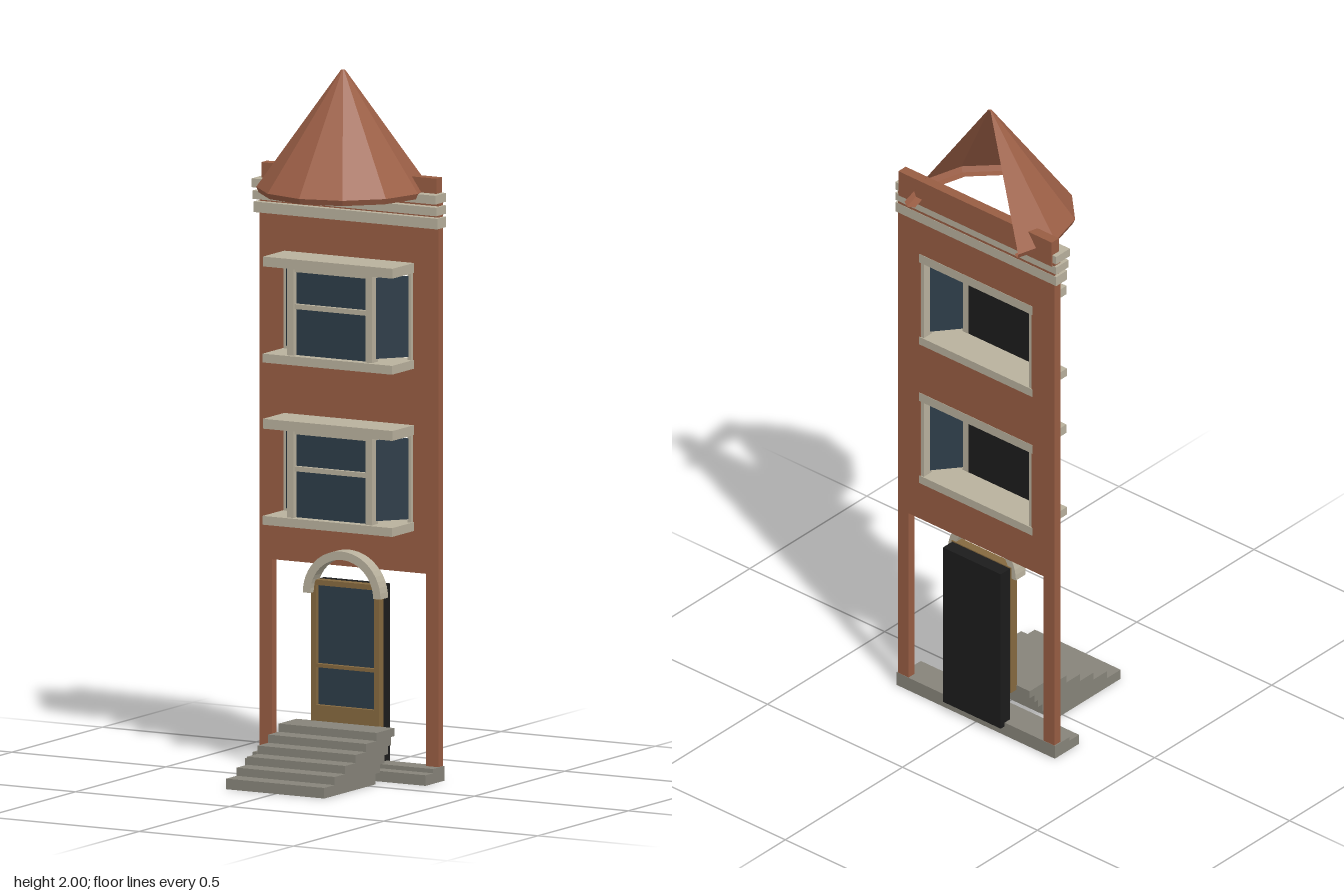
import * as THREE from 'three';

const mat = (name, color, extra = {}) => new THREE.MeshStandardMaterial({ name, color, flatShading: true, ...extra });

export function createModel() {
  const model = new THREE.Group();
  model.name = 'townhouseFront';
  const brick = mat('brick', 0x985d43);
  const roofTile = mat('roofTile', 0x9c5f46, { side: THREE.DoubleSide });
  const stone = mat('paleStone', 0xb9b19d);
  const step = mat('greyStone', 0x87847a);
  const glass = mat('darkGlass', 0x2d3c48);
  const black = mat('blackBacking', 0x1c1c1c);
  const wood = mat('doorWood', 0x85693f);

  const add = (name, geometry, material, parent = model) => {
    const mesh = new THREE.Mesh(geometry, material);
    mesh.name = name;
    parent.add(mesh);
    return mesh;
  };
  // Box given by its limits on each axis
  const box = (name, material, x0, x1, y0, y1, z0, z1, parent = model) => {
    const mesh = add(name, new THREE.BoxGeometry(x1 - x0, y1 - y0, z1 - z0), material, parent);
    mesh.position.set((x0 + x1) / 2, (y0 + y1) / 2, (z0 + z1) / 2);
    return mesh;
  };
  const rectPath = (path, x0, x1, y0, y1) =>
    path.moveTo(x0, y0).lineTo(x1, y0).lineTo(x1, y1).lineTo(x0, y1).closePath();

  // Wall on two legs, with an opening behind each bay window
  const bays = [0.705, 1.165];
  const wall = new THREE.Shape();
  wall.moveTo(-0.29, 0.04).lineTo(-0.25, 0.04).lineTo(-0.25, 0.587).lineTo(0.25, 0.587)
    .lineTo(0.25, 0.04).lineTo(0.29, 0.04).lineTo(0.29, 1.64).lineTo(-0.29, 1.64).closePath();
  for (const y of bays) {
    const hole = new THREE.Path();
    rectPath(hole, -0.205, 0.205, y + 0.01, y + 0.29);
    wall.holes.push(hole);
  }
  add('wall', new THREE.ExtrudeGeometry(wall, { depth: 0.026, bevelEnabled: false }), brick).position.z = -0.186;
  box('parapet', brick, -0.284, 0.284, 1.63, 1.71, -0.19, -0.159);

  // Cornice bands, each a little deeper than the one below
  [[1.57, 1.6, -0.14], [1.608, 1.632, -0.135], [1.642, 1.667, -0.129]].forEach(([y0, y1, z]) =>
    box('corniceBand', stone, -0.298, 0.298, y0, y1, -0.187, z));

  // Bay windows
  for (const y of bays) {
    const bay = new THREE.Group();
    bay.name = 'bayWindow';
    model.add(bay);
    box('sill', stone, -0.21, 0.21, y, y + 0.025, -0.187, -0.04, bay);
    box('lintel', stone, -0.21, 0.21, y + 0.272, y + 0.3, -0.187, -0.042, bay);
    const y0 = y + 0.025, y1 = y + 0.272;
    box('frontPane', glass, -0.118, 0.118, y0, y1, -0.074, -0.068, bay);
    box('paneBacking', black, -0.118, 0.118, y0, y1, -0.084, -0.074, bay);
    box('sashRail', stone, -0.118, 0.118, y + 0.157, y + 0.171, -0.07, -0.056, bay);
    box('topRail', stone, -0.118, 0.118, y1 - 0.01, y1, -0.07, -0.056, bay);
    for (const s of [-1, 1]) {
      const post = box('frontPost', stone, -0.011, 0.011, y0, y1, -0.085, -0.052, bay);
      post.position.x = s * 0.127;
      const wallPost = box('wallPost', stone, -0.006, 0.006, y0, y1, -0.184, -0.15, bay);
      wallPost.position.x = s * 0.201;
      // Slanted pane from front post to wall
      const pane = add('sidePane', new THREE.BoxGeometry(0.008, y1 - y0 - 0.018, 0.105), glass, bay);
      pane.position.set(s * 0.167, (y0 + y1) / 2, -0.117);
      pane.rotation.y = -s * 0.68;
    }
  }

  // Door
  const door = new THREE.Group();
  door.name = 'door';
  model.add(door);
  const frame = new THREE.Shape();
  rectPath(frame, -0.11, 0.11, 0.13, 0.545);
  const panes = [[0.19, 0.297], [0.307, 0.53]];
  for (const [y0, y1] of panes) {
    const hole = new THREE.Path();
    rectPath(hole, -0.094, 0.094, y0, y1);
    frame.holes.push(hole);
  }
  add('doorFrame', new THREE.ExtrudeGeometry(frame, { depth: 0.026, bevelEnabled: false }), wood, door).position.z = -0.164;
  box('doorGlass', glass, -0.1, 0.1, 0.18, 0.535, -0.16, -0.152, door);
  box('doorBacking', black, -0.107, 0.107, 0.03, 0.542, -0.204, -0.164, door);

  // Arch over the door
  const arch = new THREE.Shape();
  arch.absarc(0, 0, 0.126, 0, Math.PI, false);
  arch.absarc(0, 0, 0.102, Math.PI, 0, true);
  arch.closePath();
  add('doorArch', new THREE.ExtrudeGeometry(arch, { depth: 0.042, bevelEnabled: false, curveSegments: 12 }), stone)
    .position.set(0, 0.509, -0.161);

  // Base slab and stairs
  box('baseSlab', step, -0.293, 0.293, 0, 0.03, -0.187, -0.084);
  box('basePlinth', step, -0.293, 0.293, 0.03, 0.042, -0.187, -0.125);
  const levels = [0, 0.03, 0.053, 0.076, 0.099, 0.122, 0.145];
  const fronts = [0.248, 0.19, 0.132, 0.074, 0.016, -0.042];
  const backs = [-0.035, -0.06, -0.085, -0.104, -0.12, -0.14];
  fronts.forEach((z, i) => box('stair', step, -0.159, 0.159, levels[i], levels[i + 1], backs[i], z));

  // Turret roof: two thirds of a twelve-sided cone, open at the back, with a turned-in eave
  const profile = [[0.213, 1.652], [0.236, 1.652], [0.243, 1.668], [0.006, 2], [0, 2]]
    .map(([r, y]) => new THREE.Vector2(r, y));
  add('turretRoof', new THREE.LatheGeometry(profile, 8, -Math.PI * 2 / 3, Math.PI * 4 / 3), roofTile)
    .position.z = -0.127;

  return model;
}
